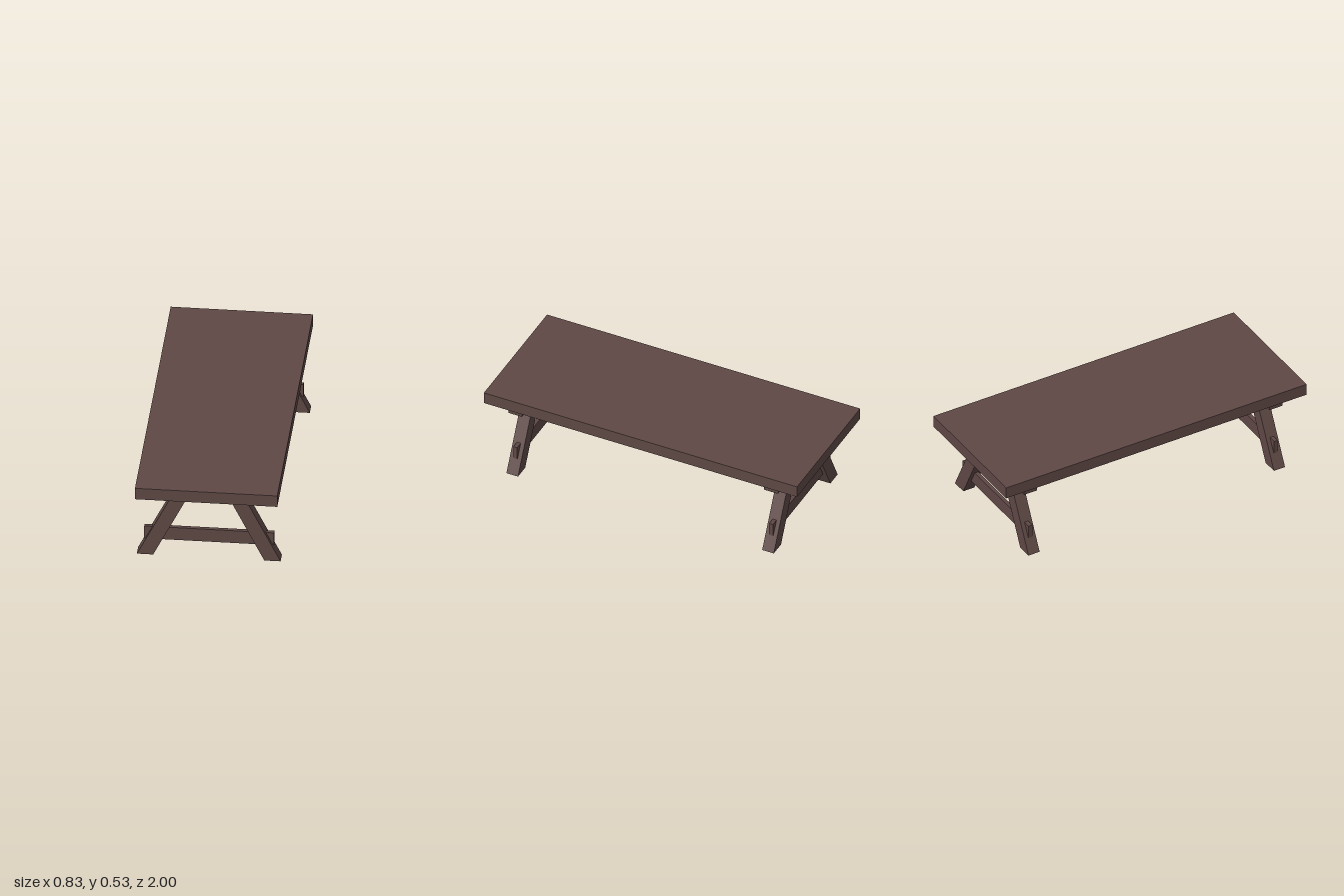
import * as THREE from 'three';

export function createModel() {
  const group = new THREE.Group();
  group.name = 'table';
  const wood = new THREE.MeshStandardMaterial({ color: 0x5e4845 });
  wood.name = 'dark brown wood';

  const add = (name, geometry, parent) => {
    const mesh = new THREE.Mesh(geometry, wood);
    mesh.name = name;
    parent.add(mesh);
    return mesh;
  };

  // Board spanning the given heights, centred on x and z
  const board = (name, width, y0, y1, depth, parent) =>
    add(name, new THREE.BoxGeometry(width, y1 - y0, depth), parent).position.set(0, (y0 + y1) / 2, 0);

  // Slanted leg, cut level at the floor and under the cleat
  const legGeometry = (side) => {
    const outline = [[0.32, 0], [0.414, 0], [0.21, 0.406], [0.117, 0.406]];
    const shape = new THREE.Shape(outline.map(([x, y]) => new THREE.Vector2(x * side, y)));
    const depth = 0.074;
    return new THREE.ExtrudeGeometry(shape, { depth, bevelEnabled: false }).translate(0, 0, -depth / 2);
  };

  board('tabletop', 0.82, 0.455, 0.528, 2, group);

  // One trestle near each end
  for (const end of [1, -1]) {
    const trestle = new THREE.Group();
    trestle.name = end > 0 ? 'frontTrestle' : 'backTrestle';
    trestle.position.z = 0.817 * end;
    group.add(trestle);
    board('cleat', 0.748, 0.406, 0.455, 0.087, trestle);
    board('stretcher', 0.748, 0.091, 0.173, 0.024, trestle);
    add('leftLeg', legGeometry(1), trestle);
    add('rightLeg', legGeometry(-1), trestle);
  }
  return group;
}
